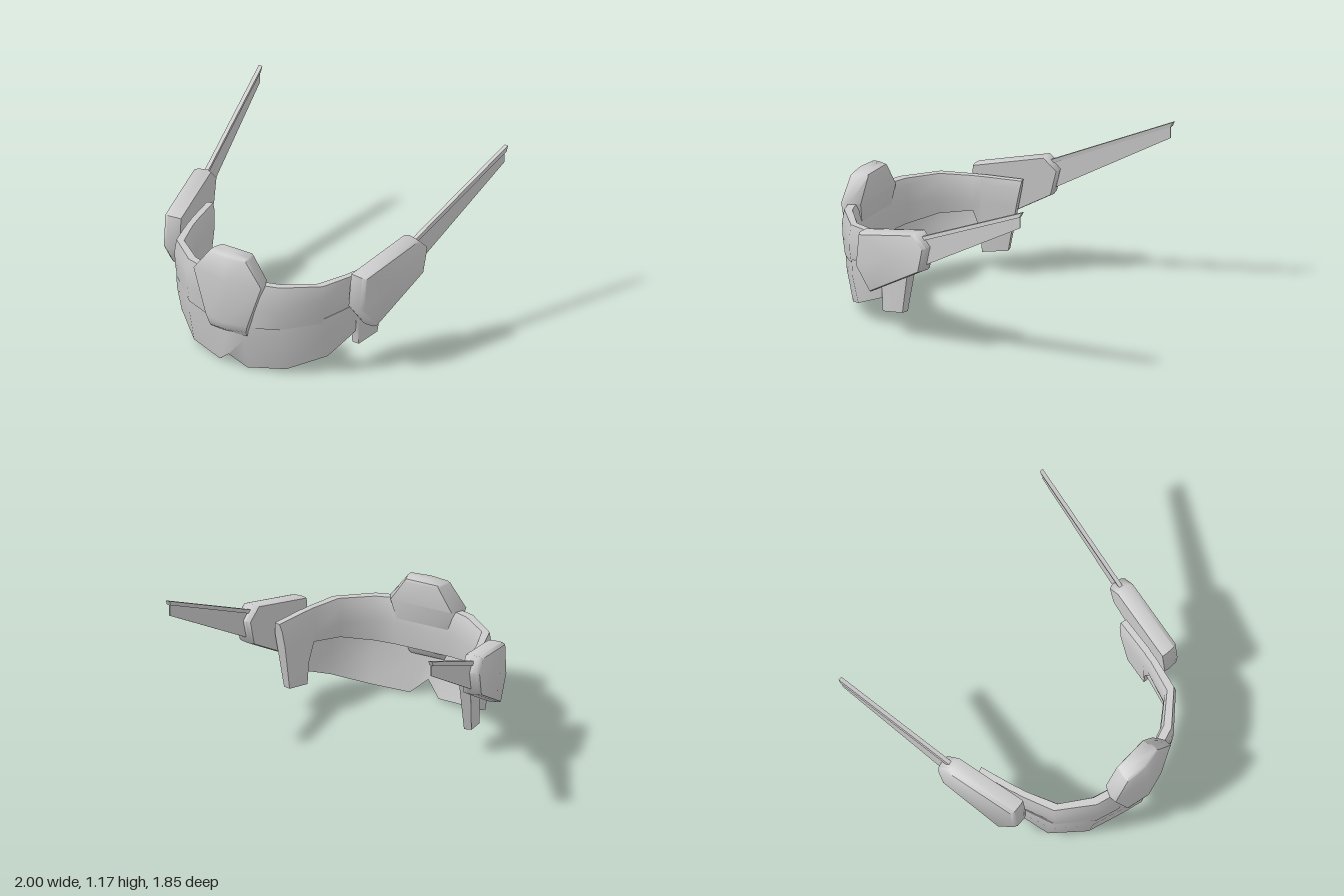
import * as THREE from 'three';
import { toCreasedNormals } from 'three/addons/utils/BufferGeometryUtils.js';

const material = new THREE.MeshStandardMaterial({ color: 0xcccccc, side: THREE.DoubleSide });

// Skin a row of equal-length closed cross-sections and cap both ends.
function loft(name, rings, crease = 1.1) {
  const n = rings[0].length;
  const points = rings.flat();
  let faces = [];
  for (let i = 0; i < rings.length - 1; i++) {
    for (let j = 0; j < n; j++) {
      const a = i * n + j, b = i * n + (j + 1) % n;
      faces.push([a, b, a + n], [b, b + n, a + n]);
    }
  }
  [0, rings.length - 1].forEach((r, end) => {
    const middle = [0, 1, 2].map(k => rings[r].reduce((s, p) => s + p[k], 0) / n);
    const c = points.push(middle) - 1;
    for (let j = 0; j < n; j++) {
      const a = r * n + j, b = r * n + (j + 1) % n;
      faces.push(end ? [a, b, c] : [b, a, c]);
    }
  });
  // Turn the faces outward when the enclosed volume comes out negative.
  const v = points.map(p => new THREE.Vector3(...p));
  const volume = faces.reduce((s, [a, b, c]) => s + v[a].dot(v[b].clone().cross(v[c])), 0);
  if (volume < 0) faces = faces.map(([a, b, c]) => [a, c, b]);
  const geometry = new THREE.BufferGeometry();
  geometry.setAttribute('position', new THREE.Float32BufferAttribute(points.flat(), 3));
  geometry.setIndex(faces.flat());
  const mesh = new THREE.Mesh(toCreasedNormals(geometry, crease), material);
  mesh.name = name;
  return mesh;
}

// Complete a row of sections that runs from the centre line to the left end.
const mirrorRings = half => [
  ...half.slice(1).reverse().map(r => r.map(([x, y, z]) => [-x, y, z])), ...half];

// Curved head band, with a tab hanging down at each end
function headBand() {
  // outer x, outer z, inner x, inner z, bottom y, rake of the lower edge
  const stations = [
    [0, 0.86, 0, 0.76, 0.34, 0],
    [0.20, 0.86, 0.21, 0.76, 0.34, 0],
    [0.37, 0.81, 0.33, 0.72, 0.355, 0],
    [0.60, 0.62, 0.51, 0.59, 0.395, 0],
    [0.665, 0.40, 0.59, 0.38, 0.43, 0],
    [0.68, 0.335, 0.60, 0.33, 0.30, 0],
    [0.685, 0.325, 0.605, 0.32, 0.145, 0],
    [0.735, 0.07, 0.66, 0.05, 0.175, 0.09],
  ];
  return loft('headBand', mirrorRings(stations.map(([ox, oz, ix, iz, bottom, rake]) => {
    // across the thickness (0 inner, 1 outer), height
    const section = [[0.85, 0.67], [1, 0.58], [0.95, 0.48], [0.8, bottom],
      [0.15, bottom], [0, 0.5], [0.1, 0.62], [0.3, 0.67]];
    return section.map(([t, y]) => {
      const lean = rake * (0.67 - y) / 0.5;
      return [ix + (ox - ix) * t - lean * 0.2, y, iz + (oz - iz) * t + lean];
    });
  })));
}

// Thin visor with a notch in the middle of its lower edge
function visor() {
  // top x y z, bottom x y z
  const stations = [
    [0, 0.38, 0.875, 0, 0.10, 0.86],
    [0.11, 0.38, 0.865, 0.11, 0.008, 0.80],
    [0.37, 0.40, 0.785, 0.37, 0.04, 0.725],
    [0.595, 0.43, 0.605, 0.585, 0.13, 0.56],
    [0.66, 0.45, 0.39, 0.64, 0.22, 0.36],
    [0.67, 0.45, 0.32, 0.65, 0.24, 0.32],
  ];
  return loft('visor', mirrorRings(stations.map(([tx, ty, tz, bx, by, bz]) => {
    const dx = 0.012 * tx / 0.67, dz = 0.012 * (1 - tx / 0.8);
    const mx = tx * 0.6 + bx * 0.4 + dx * 0.5, mz = tz * 0.6 + bz * 0.4 + 0.01;
    const my = ty * 0.6 + by * 0.4;
    return [[tx, ty, tz], [mx, my, mz], [bx, by, bz],
      [bx - dx, by, bz - dz], [mx - dx, my, mz - dz], [tx - dx, ty, tz - dz]];
  })));
}

// Faceted crest plate on the brow
function browCrest() {
  // y, half width, centre front z, side front z, back z
  const levels = [
    [0.84, 0.14, 0.885, 0.865, 0.76],
    [0.825, 0.15, 0.90, 0.875, 0.755],
    [0.67, 0.27, 0.925, 0.875, 0.75],
    [0.36, 0.165, 0.925, 0.885, 0.78],
    [0.31, 0.15, 0.91, 0.875, 0.81],
    [0.275, 0.145, 0.87, 0.86, 0.835],
  ];
  return loft('browCrest', levels.map(([y, w, centre, side, back]) => [
    [0, y, centre], [w, y, side], [w, y, side * 0.6 + back * 0.4], [w * 0.85, y, back],
    [-w * 0.85, y, back], [-w, y, side * 0.6 + back * 0.4], [-w, y, side]]));
}

// Six-sided pod over the ear, angled outward to the rear
function sidePod(s) {
  const outline = [[0.715, 0.435], [0.83, -0.06], [0.745, -0.15],
    [0.57, -0.11], [0.315, 0.335], [0.48, 0.46]];
  const ring = (depth, scale, shift) => outline.map(([y, z]) => {
    const pz = 0.15 + (z - 0.15) * scale + shift;
    return [s * (0.765 - 0.195 * pz + depth), 0.59 + (y - 0.59) * scale, pz];
  });
  return loft('sidePod', [ring(0, 0.97, 0), ring(0.03, 1, 0),
    ring(0.10, 0.98, 0.01), ring(0.125, 0.93, 0.012)]);
}

// Swept-back antenna: a square rod with a tapering blade beneath it
function antenna(s) {
  const group = new THREE.Group();
  group.name = 'antenna';
  const rodSection = (x, y, z) => [[-1, -1], [1, -1], [1, 1], [-1, 1]].map(
    ([a, b]) => [s * (x + a * 0.014), y + b * 0.018, z - b * 0.008]);
  group.add(loft('antennaRod', [rodSection(0.825, 0.76, -0.02), rodSection(0.984, 1.158, -0.918)], 0.5));
  const bladeSection = (x, low, high, z) => [[-1, low], [1, low], [1, high], [-1, high]].map(
    ([a, y]) => [s * (x + a * 0.004), y, z]);
  group.add(loft('antennaBlade', [bladeSection(0.837, 0.595, 0.785, -0.085),
    bladeSection(0.98, 1.06, 1.15, -0.905)], 0.5));
  return group;
}

export function createModel() {
  const model = new THREE.Group();
  model.name = 'headpiece';
  model.add(headBand(), visor(), browCrest());
  for (const [side, s] of [['left', 1], ['right', -1]]) {
    const pod = sidePod(s), rod = antenna(s);
    pod.name = side + 'SidePod';
    rod.name = side + 'Antenna';
    model.add(pod, rod);
  }
  return model;
}
